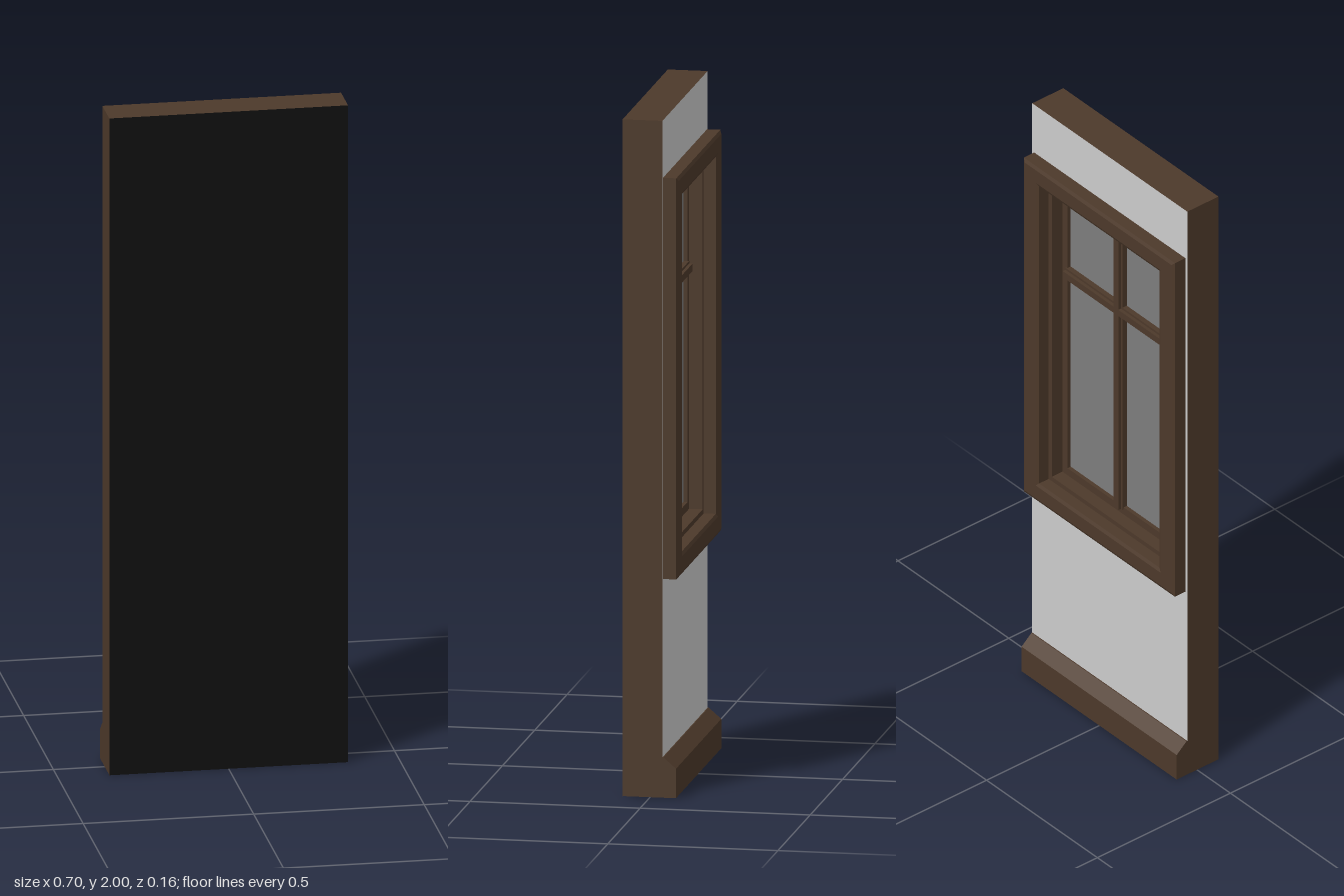
import * as THREE from 'three';

const wood = new THREE.MeshStandardMaterial({ color: 0x4d392a });
const plaster = new THREE.MeshStandardMaterial({ color: 0xcccccc });
const glass = new THREE.MeshStandardMaterial({ color: 0x7d7d7d });
const black = new THREE.MeshStandardMaterial({ color: 0x0f0f0f });

// Panel and window dimensions
const HALF = 0.35, TOP = 2, WALL_BACK = -0.037, FRONT = 0.08, SKIN = 0.001;
const MID_Y = 1.2375;

function add(group, name, geometry, material, x = 0, y = 0, z = 0) {
  const mesh = new THREE.Mesh(geometry, material);
  mesh.name = name;
  mesh.position.set(x, y, z);
  group.add(mesh);
  return mesh;
}

function rectangle(PathType, x, y0, y1) {
  return new PathType([
    new THREE.Vector2(-x, y0), new THREE.Vector2(x, y0),
    new THREE.Vector2(x, y1), new THREE.Vector2(-x, y1),
  ]);
}

// Rectangular ring from z0 to z1; outer and inner are [halfWidth, bottom, top]
function ring(outer, inner, z0, z1, bevel = 0, bevelDepth = 0) {
  const shape = rectangle(THREE.Shape, ...outer);
  shape.holes.push(rectangle(THREE.Path, ...inner));
  const geometry = new THREE.ExtrudeGeometry(shape, {
    depth: z1 - z0 - 2 * bevelDepth, bevelEnabled: bevel > 0, bevelSize: bevel,
    bevelThickness: bevelDepth, bevelOffset: -bevel, bevelSegments: 1,
  });
  return geometry.translate(0, 0, z0 + bevelDepth);
}

export function createModel() {
  const model = new THREE.Group();
  model.name = 'windowWallPanel';

  // Wall body: wooden edges, plaster on the window side, black on the plain side
  const opening = [0.272, 0.71, 1.765];
  const wall = ring([HALF, SKIN, TOP], opening, WALL_BACK, FRONT - SKIN);
  add(model, 'wallBody', wall, [plaster, wood]);
  add(model, 'blackFace', new THREE.BoxGeometry(2 * HALF, TOP, SKIN), 
    [wood, wood, wood, black, black, black], 0, TOP / 2, FRONT - SKIN / 2);
  const underside = new THREE.PlaneGeometry(2 * HALF, FRONT + 0.077).rotateX(Math.PI / 2);
  add(model, 'underside', underside, black, 0, 0, (FRONT - 0.077) / 2);

  // Skirting board with a sloped top, profile swept across the width
  const profile = new THREE.Shape([
    new THREE.Vector2(-0.03, SKIN), new THREE.Vector2(-0.03, 0.12),
    new THREE.Vector2(-0.04, 0.12), new THREE.Vector2(-0.077, 0.088),
    new THREE.Vector2(-0.077, SKIN),
  ]);
  const skirting = new THREE.ExtrudeGeometry(profile, { depth: 2 * HALF, bevelEnabled: false })
    .translate(0, 0, -HALF).rotateY(-Math.PI / 2);
  // The profile's horizontal axis becomes z after the turn
  add(model, 'skirtingBoard', skirting, wood);

  // Window: raised trim, stepped casing and sash
  const win = new THREE.Group();
  win.name = 'window';
  model.add(win);
  add(win, 'trim', ring([0.341, 0.645, 1.83], opening, -0.081, -0.03, 0.01, 0.005), wood);
  add(win, 'casing', ring(opening, [0.258, 0.725, 1.75], -0.04, 0.04), wood);
  add(win, 'sash', ring([0.258, 0.725, 1.75], [0.235, 0.75, 1.715], 0, 0.03), wood);
  add(win, 'glass', new THREE.BoxGeometry(0.48, 0.98, 0.008), glass, 0, MID_Y - 0.005, 0.016);

  // Glazing bars: a wide bar with a narrower raised strip
  for (const [width, depth] of [[0.036, 0.024], [0.022, 0.034]]) {
    const z = 0.02 - depth / 2;
    add(win, 'uprightBar', new THREE.BoxGeometry(width, 0.98, depth), wood, 0, MID_Y - 0.005, z);
    add(win, 'crossBar', new THREE.BoxGeometry(0.48, width, depth), wood, 0, 1.443, z);
  }
  return model;
}
